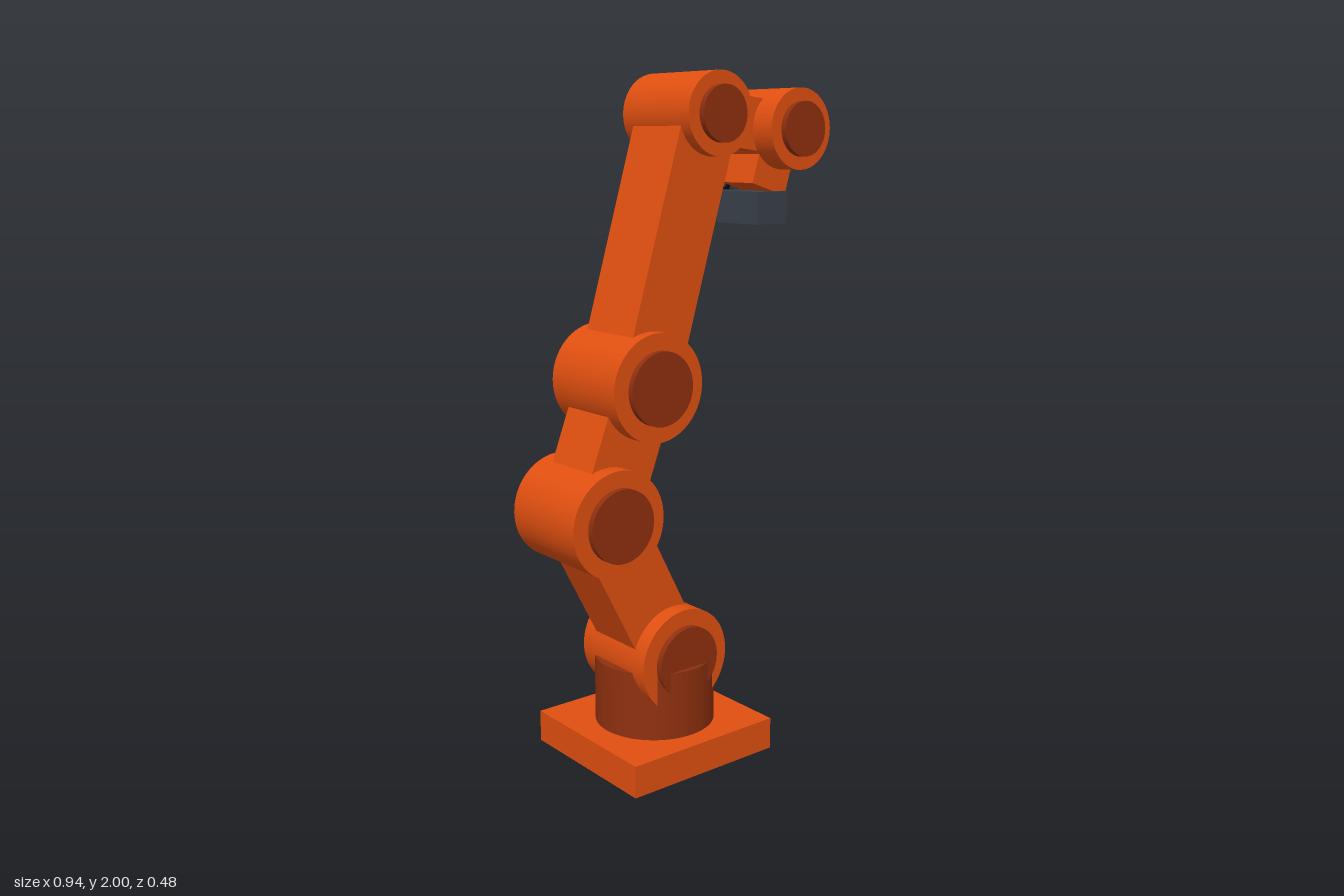
import * as THREE from 'three';

const material = (name, color) => {
  const m = new THREE.MeshStandardMaterial({ color });
  m.name = name;
  return m;
};

export function createModel() {
  const orange = material('orange paint', 0xe04f10);
  const brown = material('dark rust', 0x8f300f);
  const grey = material('slate grey', 0x3a4149);
  const black = material('cable black', 0x0c0c0c);

  const model = new THREE.Group();
  model.name = 'robotArm';

  const add = (parent, name, geometry, mat, x, y, z) => {
    const mesh = new THREE.Mesh(geometry, mat);
    mesh.name = name;
    mesh.position.set(x, y, z);
    parent.add(mesh);
    return mesh;
  };

  // Base plate and turntable
  add(model, 'basePlate', new THREE.BoxGeometry(0.514, 0.096, 0.483), orange, -0.08, 0.048, 0);
  add(model, 'turntable', new THREE.CylinderGeometry(0.18, 0.18, 0.204, 64), brown, -0.08, 0.198, 0);

  // Joints: drum along z with a raised cap on the front
  const joints = [
    { name: 'shoulder', x: -0.08, y: 0.318, r: 0.155, cap: 0.106 },
    { name: 'elbow', x: -0.315, y: 0.772, r: 0.155, cap: 0.106 },
    { name: 'forearm', x: -0.175, y: 1.14, r: 0.155, cap: 0.106 },
    { name: 'upperArm', x: 0.046, y: 1.885, r: 0.117, cap: 0.079 },
    { name: 'wrist', x: 0.352, y: 1.845, r: 0.117, cap: 0.079 },
  ];
  for (const j of joints) {
    const group = new THREE.Group();
    group.name = j.name + 'Joint';
    group.position.set(j.x, j.y, 0);
    model.add(group);
    const drum = new THREE.CylinderGeometry(j.r, j.r, 0.296, 64).rotateX(Math.PI / 2);
    const cap = new THREE.CylinderGeometry(j.cap, j.cap, 0.03, 48).rotateX(Math.PI / 2);
    add(group, 'drum', drum, orange, 0, 0, -0.001);
    add(group, 'cap', cap, brown, 0, 0, 0.151);
  }

  // Stretches a geometry of unit height between two points in the xy plane
  const span = (name, geometry, mat, a, b, z) => {
    const dx = b.x - a.x, dy = b.y - a.y;
    geometry.scale(1, Math.hypot(dx, dy), 1);
    const mesh = add(model, name, geometry, mat, (a.x + b.x) / 2, (a.y + b.y) / 2, z);
    mesh.rotation.z = Math.atan2(-dx, dy);
  };

  // Links between joints: [width, depth]
  const path = [...joints, { name: 'hand', x: 0.299, y: 1.671 }];
  const sizes = [[0.208, 0.193], [0.206, 0.193], [0.196, 0.216], [0.15, 0.135], [0.134, 0.138]];
  sizes.forEach(([w, d], i) => {
    span(path[i].name + 'Link', new THREE.BoxGeometry(w, 1, d), orange, path[i], path[i + 1], 0);
  });

  // Cable along the back, from the elbow to the hand
  for (let i = 1; i < 5; i++) {
    span('cable' + i, new THREE.CylinderGeometry(0.018, 0.018, 1, 24), black, path[i], path[i + 1], -0.133);
  }

  // Gripper block
  add(model, 'gripper', new THREE.BoxGeometry(0.12, 0.095, 0.178), grey, 0.295, 1.618, 0);

  return model;
}
